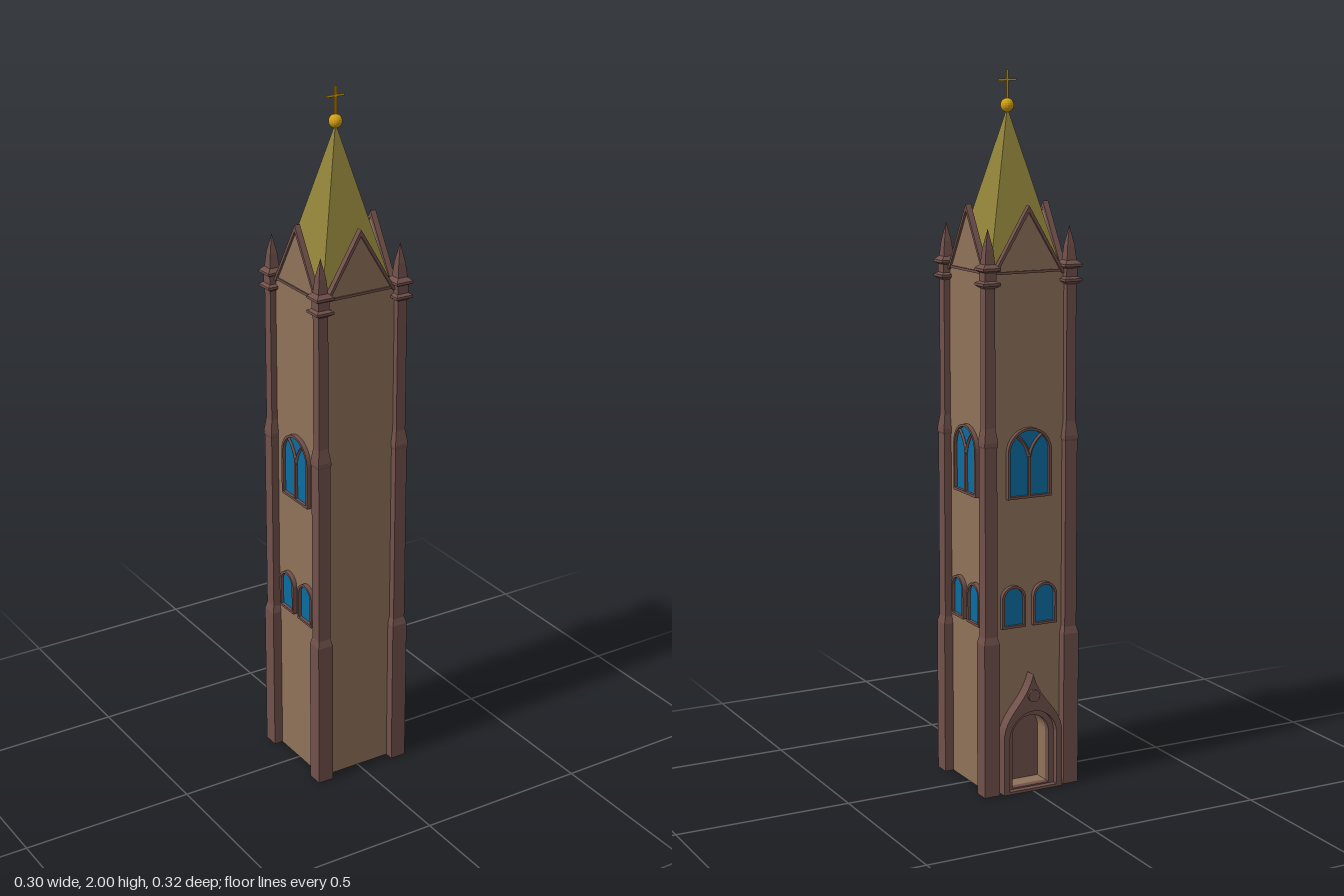
import * as THREE from 'three';

const mat = (color) => new THREE.MeshStandardMaterial({ color, flatShading: true, side: THREE.DoubleSide });
const wallMat = mat(0x8f725a), trimMat = mat(0x70504a), roofMat = mat(0x92843a);
const glassMat = mat(0x0c6ca0), goldMat = mat(0xd2a012);
const R2 = Math.SQRT2;

function add(parent, name, geo, material, x = 0, y = 0, z = 0) {
  const m = new THREE.Mesh(geo, material);
  m.name = name;
  m.position.set(x, y, z);
  parent.add(m);
  return m;
}

// Extrude a shape from depth z0 to z1
function slab(shape, z0, z1) {
  const g = new THREE.ExtrudeGeometry(shape, { depth: z1 - z0, bevelEnabled: false, curveSegments: 12 });
  return g.translate(0, 0, z0);
}

// Round-headed outline
function arch(w, y0, spring, cx = 0) {
  const s = new THREE.Shape();
  s.moveTo(cx - w, y0);
  s.lineTo(cx + w, y0);
  s.lineTo(cx + w, spring);
  s.absarc(cx, spring, w, 0, Math.PI, false);
  s.closePath();
  return s;
}

function polygon(pts) {
  return new THREE.Shape(pts.map(([x, y]) => new THREE.Vector2(x, y)));
}

// Framed window on a wall whose surface is at local z = 0.122
function windowUnit(parent, name, w, y0, spring, cx) {
  const g = new THREE.Group();
  g.name = name;
  const t = 0.007;
  const frame = arch(w, y0, spring, cx);
  frame.holes.push(arch(w - t, y0 + t, spring, cx));
  add(g, 'windowFrame', slab(frame, 0.118, 0.135), trimMat);
  add(g, 'windowGlass', slab(arch(w - t, y0 + t, spring, cx), 0.12, 0.126), glassMat);
  parent.add(g);
  return g;
}

// Large window with forked mullion above a pair of small ones
function addWindows(face) {
  const big = windowUnit(face, 'largeWindow', 0.068, 0.84, 0.968, 0);
  add(big, 'mullion', new THREE.BoxGeometry(0.008, 0.112, 0.01), trimMat, 0, 0.9, 0.128);
  for (const s of [-1, 1]) {
    const curve = new THREE.QuadraticBezierCurve3(
      new THREE.Vector3(0, 0.95, 0.128),
      new THREE.Vector3(s * 0.006, 0.995, 0.128),
      new THREE.Vector3(s * 0.043, 1.018, 0.128));
    add(big, 'traceryBranch', new THREE.TubeGeometry(curve, 8, 0.005, 4), trimMat);
    windowUnit(face, 'smallWindow', 0.037, 0.475, 0.558, s * 0.049);
  }
}

// Gable wall with projecting coping and a string course below
function addGable(face) {
  add(face, 'gableWall', slab(polygon([[-0.11, 1.455], [0.11, 1.455], [0, 1.632]]), 0.112, 0.122), wallMat);
  add(face, 'gableCoping', slab(polygon([
    [-0.112, 1.455], [-0.103, 1.455], [0, 1.624], [0.103, 1.455], [0.112, 1.455], [0, 1.642]]), 0.111, 0.128), trimMat);
  add(face, 'stringCourse', new THREE.BoxGeometry(0.22, 0.007, 0.014), trimMat, 0, 1.463, 0.119);
}

// Stepped square corner pier, capped with a pinnacle
function pierGeometry() {
  const profile = [
    [0, 0], [0.0235, 0], [0.0235, 0.44], [0.0185, 0.46], [0.0185, 0.99], [0.0205, 0.995],
    [0.0205, 1.005], [0.0148, 1.045], [0.0148, 1.425], [0.0265, 1.433], [0.0265, 1.44],
    [0.017, 1.445], [0.017, 1.468], [0.0265, 1.473], [0.0265, 1.48], [0.015, 1.49],
    [0.011, 1.53], [0, 1.585]];
  const pts = profile.map(([r, y]) => new THREE.Vector2(r * R2, y));
  return new THREE.LatheGeometry(pts, 4, Math.PI / 4);
}

// Doorway surround with an ogee head
function addPortal(face) {
  const g = new THREE.Group();
  g.name = 'portal';
  const outer = new THREE.Shape();
  outer.moveTo(-0.092, 0);
  outer.lineTo(0.092, 0);
  outer.lineTo(0.092, 0.16);
  outer.bezierCurveTo(0.092, 0.235, 0.022, 0.255, 0, 0.34);
  outer.bezierCurveTo(-0.022, 0.255, -0.092, 0.235, -0.092, 0.16);
  outer.closePath();
  outer.holes.push(arch(0.074, 0.008, 0.16));
  add(g, 'portalOuterArch', slab(outer, 0.12, 0.157), trimMat);
  const inner = arch(0.076, 0.004, 0.16);
  inner.holes.push(arch(0.058, 0.012, 0.16));
  add(g, 'portalInnerArch', slab(inner, 0.12, 0.14), trimMat);
  const boss = add(g, 'portalBoss', new THREE.CylinderGeometry(0.018, 0.018, 0.012, 12), trimMat, 0, 0.28, 0.158);
  boss.rotation.x = Math.PI / 2;
  face.add(g);
}

export function createModel() {
  const model = new THREE.Group();
  model.name = 'churchTower';
  const tower = new THREE.Group();
  tower.name = 'tower';
  tower.position.z = 0.004;
  model.add(tower);

  // Shaft: solid core and a back wall pierced by the doorway
  add(tower, 'shaft', new THREE.BoxGeometry(0.244, 1.46, 0.192), wallMat, 0, 0.73, 0.026);
  const backWall = polygon([[-0.122, 0], [0.122, 0], [0.122, 1.46], [-0.122, 1.46]]);
  backWall.holes.push(arch(0.058, 0.012, 0.16));
  add(tower, 'backWall', slab(backWall, -0.122, -0.07), wallMat);
  add(tower, 'doorPanel', slab(arch(0.058, 0.012, 0.16), -0.075, -0.071), trimMat);

  // Four faces: front is plain, the others have windows, the back has the doorway
  ['frontFace', 'leftFace', 'backFace', 'rightFace'].forEach((name, i) => {
    const face = new THREE.Group();
    face.name = name;
    face.rotation.y = i * Math.PI / 2;
    addGable(face);
    if (i > 0) addWindows(face);
    if (i === 2) addPortal(face);
    tower.add(face);
  });

  // Corner piers
  const pier = pierGeometry();
  for (const x of [-1, 1]) for (const z of [-1, 1]) {
    add(tower, 'cornerPier', pier, trimMat, x * 0.125, 0, z * 0.125);
  }

  // Spire, ball and cross
  const spire = new THREE.ConeGeometry(0.112 * R2, 0.445, 4).rotateY(Math.PI / 4);
  add(tower, 'spire', spire, roofMat, 0, 1.6775, 0);
  add(tower, 'spireBall', new THREE.SphereGeometry(0.019, 16, 10), goldMat, 0, 1.905, 0);
  add(tower, 'crossPost', new THREE.BoxGeometry(0.006, 0.085, 0.004), goldMat, 0, 1.9575, 0);
  add(tower, 'crossBar', new THREE.BoxGeometry(0.054, 0.006, 0.004), goldMat, 0, 1.973, 0);
  return model;
}
